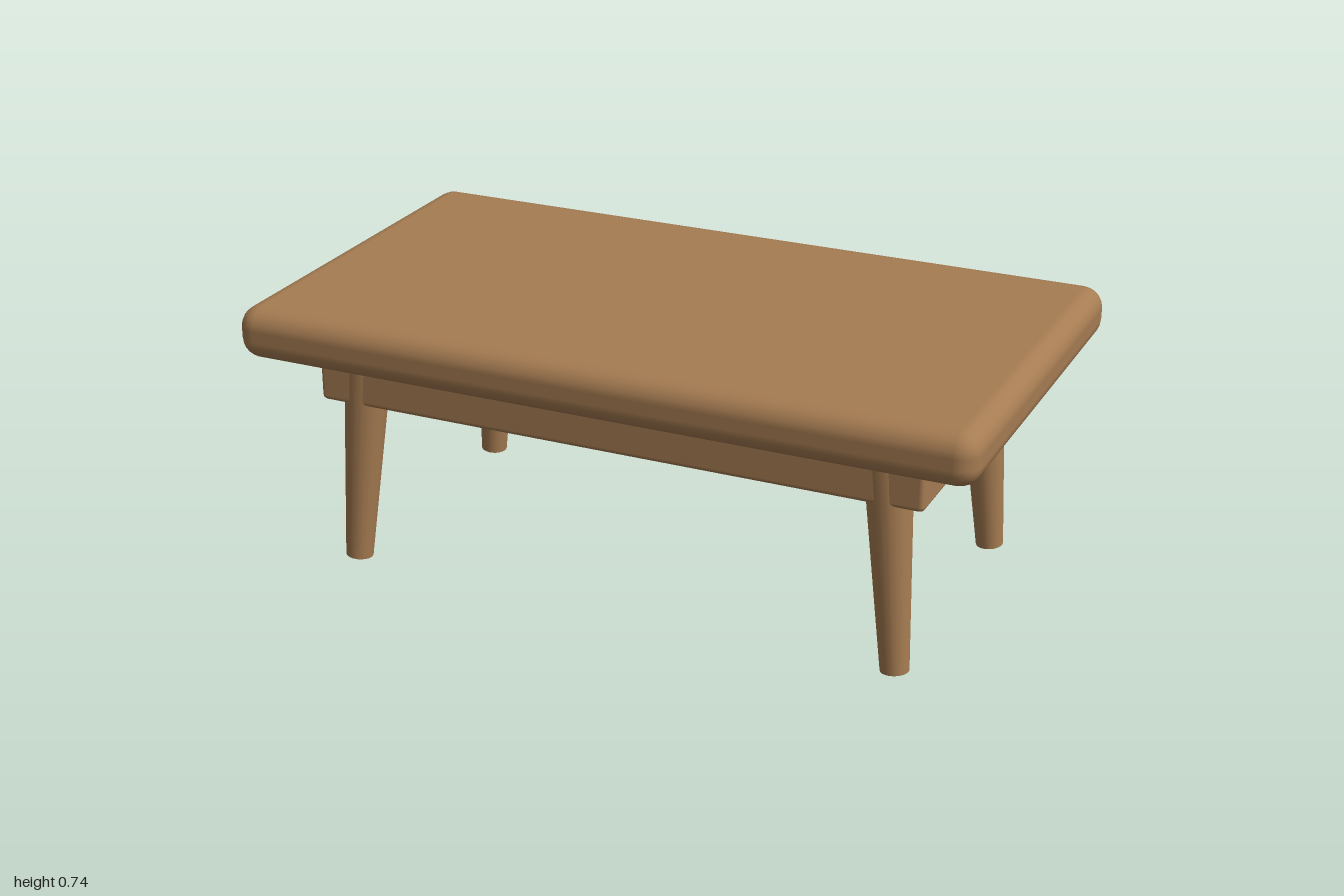
import * as THREE from 'three';
import { RoundedBoxGeometry } from 'three/addons/geometries/RoundedBoxGeometry.js';

export function createModel() {
  const table = new THREE.Group();
  table.name = 'coffeeTable';
  const wood = new THREE.MeshStandardMaterial({ color: 0xa67c52 });
  wood.name = 'wood';

  const add = (name, geometry) => {
    const mesh = new THREE.Mesh(geometry, wood);
    mesh.name = name;
    table.add(mesh);
    return mesh;
  };

  // Thick top with softly rounded edges
  add('tableTop', new RoundedBoxGeometry(2, 0.141, 1.114, 3, 0.056)).position.y = 0.6675;

  // Apron block under the top
  add('apron', new RoundedBoxGeometry(1.672, 0.16, 0.836, 2, 0.014)).position.y = 0.54;

  // Tapered legs, splayed outwards towards the floor
  const up = new THREE.Vector3(0, 1, 0);
  for (const sx of [1, -1]) {
    for (const sz of [1, -1]) {
      const foot = new THREE.Vector3(0.768 * sx, 0.0035, 0.383 * sz);
      const head = new THREE.Vector3(0.72 * sx, 0.6, 0.358 * sz);
      const axis = head.clone().sub(foot);
      const name = (sz > 0 ? 'front' : 'back') + (sx > 0 ? 'Left' : 'Right') + 'Leg';
      const leg = add(name, new THREE.CylinderGeometry(0.064, 0.037, axis.length(), 20));
      leg.position.copy(foot).add(head).multiplyScalar(0.5);
      leg.quaternion.setFromUnitVectors(up, axis.normalize());
    }
  }
  return table;
}
